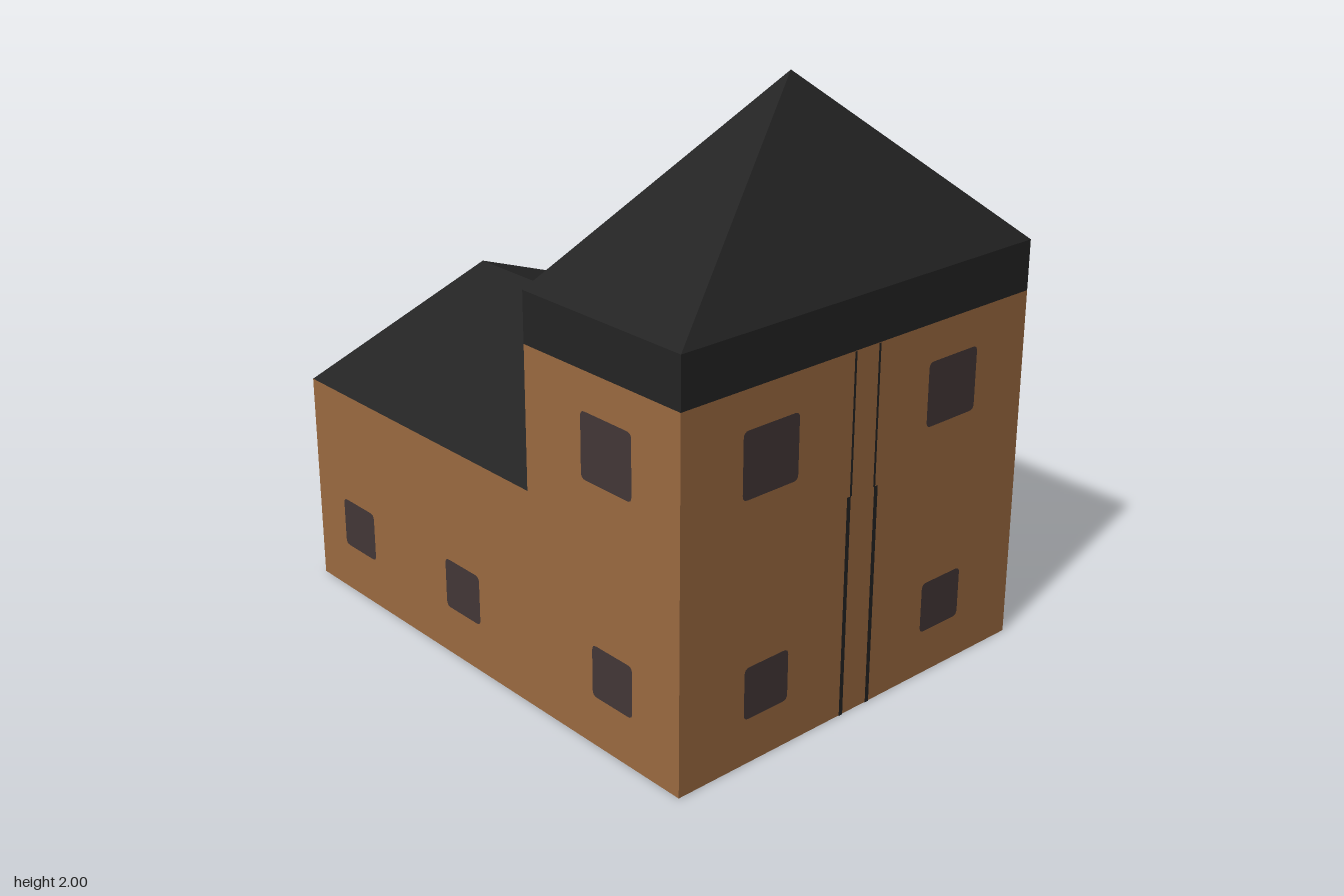
import * as THREE from 'three';

const paint = (name, color) => {
  const m = new THREE.MeshStandardMaterial({ color });
  m.name = name;
  return m;
};

export function createModel() {
  const house = new THREE.Group();
  house.name = 'house';
  const wallPaint = paint('brown wall', 0x9c6b41);
  const roofPaint = paint('charcoal roof', 0x242424);
  const glassPaint = paint('dark glass', 0x433737);

  const X0 = -0.95, XT = 0.255, X1 = 0.945, Z = 0.745; // wing end, tower start, tower end, half depth
  const EAVE = 0.75, RIDGE = 1.015, BAND = 1.23, TOP = 1.4;
  const LIFT = 0.003;

  const add = (name, geometry, material, parent = house) => {
    const mesh = new THREE.Mesh(geometry, material);
    mesh.name = name;
    parent.add(mesh);
    return mesh;
  };

  // Flat convex face, corners counter-clockwise as seen from outside
  const face = (name, material, ...corners) => {
    const g = new THREE.BufferGeometry();
    const index = [];
    for (let i = 1; i < corners.length - 1; i++) index.push(0, i, i + 1);
    g.setAttribute('position', new THREE.Float32BufferAttribute(corners.flat(), 3));
    g.setIndex(index);
    g.computeVertexNormals();
    return add(name, g, material);
  };

  // Box without lid or floor
  const ring = (name, material, x0, x1, y0, y1) => {
    const c = [[x0, Z], [x1, Z], [x1, -Z], [x0, -Z]];
    c.forEach(([ax, az], i) => {
      const [bx, bz] = c[(i + 1) % 4];
      face(name, material, [ax, y0, az], [bx, y0, bz], [bx, y1, bz], [ax, y1, az]);
    });
  };

  // Wing: two long walls, gable end and pitched roof
  face('wingFrontWall', wallPaint, [X0, 0, Z], [XT, 0, Z], [XT, EAVE, Z], [X0, EAVE, Z]);
  face('wingBackWall', wallPaint, [XT, 0, -Z], [X0, 0, -Z], [X0, EAVE, -Z], [XT, EAVE, -Z]);
  face('gableWall', wallPaint, [X0, 0, -Z], [X0, 0, Z], [X0, EAVE, Z], [X0, RIDGE, 0], [X0, EAVE, -Z]);
  face('wingFrontRoof', roofPaint, [X0, EAVE, Z], [XT, EAVE, Z], [XT, RIDGE, 0], [X0, RIDGE, 0]);
  face('wingBackRoof', roofPaint, [XT, EAVE, -Z], [X0, EAVE, -Z], [X0, RIDGE, 0], [XT, RIDGE, 0]);

  // Tower: walls, dark band and pyramid roof
  ring('towerWall', wallPaint, XT, X1, 0, BAND);
  ring('towerRoofBand', roofPaint, XT, X1, BAND, TOP);
  const peak = [(XT + X1) / 2, 2, 0];
  const eaves = [[XT, TOP, Z], [X1, TOP, Z], [X1, TOP, -Z], [XT, TOP, -Z]];
  eaves.forEach((p, i) => face('towerRoof', roofPaint, p, eaves[(i + 1) % 4], peak));

  // Windows: rounded flat panes
  const pane = (w, h, r = 0.02) => {
    const s = new THREE.Shape();
    const a = w / 2, b = h / 2;
    s.moveTo(-a + r, -b);
    s.lineTo(a - r, -b).quadraticCurveTo(a, -b, a, -b + r);
    s.lineTo(a, b - r).quadraticCurveTo(a, b, a - r, b);
    s.lineTo(-a + r, b).quadraticCurveTo(-a, b, -a, b - r);
    s.lineTo(-a, -b + r).quadraticCurveTo(-a, -b, -a + r, -b);
    return new THREE.ShapeGeometry(s, 4);
  };
  const onWall = (name, geometry, material, x, y, z, turn) => {
    const m = add(name, geometry, material);
    m.position.set(x, y, z);
    m.rotation.y = turn;
  };
  const small = pane(0.183, 0.177), large = pane(0.225, 0.218);
  for (const side of [1, -1]) {
    const turn = side > 0 ? 0 : Math.PI;
    const z = side * (Z + LIFT);
    for (const x of [-0.7, -0.1, 0.65]) onWall('lowerWindow', small, glassPaint, x, 0.262, z, turn);
    onWall('towerWindow', large, glassPaint, 0.63, 0.995, z, turn);
    onWall('sideLowerWindow', small, glassPaint, X1 + LIFT, 0.245, side * 0.395, Math.PI / 2);
    onWall('sideUpperWindow', large, glassPaint, X1 + LIFT, 0.995, side * 0.395, Math.PI / 2);
    onWall('gableWindow', small, glassPaint, X0 - LIFT, 0.26, side * 0.435, -Math.PI / 2);
    // Dark upright seams on the tower's outer wall
    onWall('wallSeam', new THREE.PlaneGeometry(0.016, 0.76), roofPaint, X1 + LIFT, 0.38, side * 0.06, Math.PI / 2);
    onWall('upperWallSeam', new THREE.PlaneGeometry(0.009, 0.47), roofPaint, X1 + LIFT, 0.995, side * 0.052, Math.PI / 2);
  }

  // Door in the gable end
  onWall('door', new THREE.PlaneGeometry(0.29, 0.31), roofPaint, X0 - LIFT, 0.215, 0, -Math.PI / 2);
  onWall('doorStep', new THREE.PlaneGeometry(0.29, 0.06), glassPaint, X0 - LIFT, 0.03, 0, -Math.PI / 2);

  // Underside, with shapes drawn in x and z, facing down
  const floor = (name, points, material, y) => {
    const shape = new THREE.Shape(points.map(([x, z]) => new THREE.Vector2(x, z)));
    add(name, new THREE.ShapeGeometry(shape).rotateX(Math.PI / 2), material).position.y = y;
  };
  const rect = (x, z, w, d) => [[x - w / 2, z - d / 2], [x + w / 2, z - d / 2], [x + w / 2, z + d / 2], [x - w / 2, z + d / 2]];
  floor('floor', rect((X0 + X1) / 2, 0, X1 - X0, 2 * Z), wallPaint, 0.004);
  const half = [[-0.12, 0.1], [-0.52, 0.19], [-0.67, 0.42], [-0.57, 0.63], [-0.47, Z]];
  const mirrored = half.map(([x, z]) => [x, -z]).reverse();
  floor('floorDarkPatch', [[0.28, 0], ...half, [X0, Z], [X0, -Z], ...mirrored], roofPaint, 0.002);
  for (const side of [1, -1]) {
    floor('floorEdge', rect((X0 + X1) / 2, side * (Z - 0.018), X1 - X0, 0.036), roofPaint, 0.001);
    floor('floorPane', rect(0.73, side * 0.475, 0.17, 0.17), glassPaint, 0.001);
    floor('floorLongPane', rect(-0.44, side * 0.475, 0.36, 0.17), glassPaint, 0.001);
  }
  return house;
}
